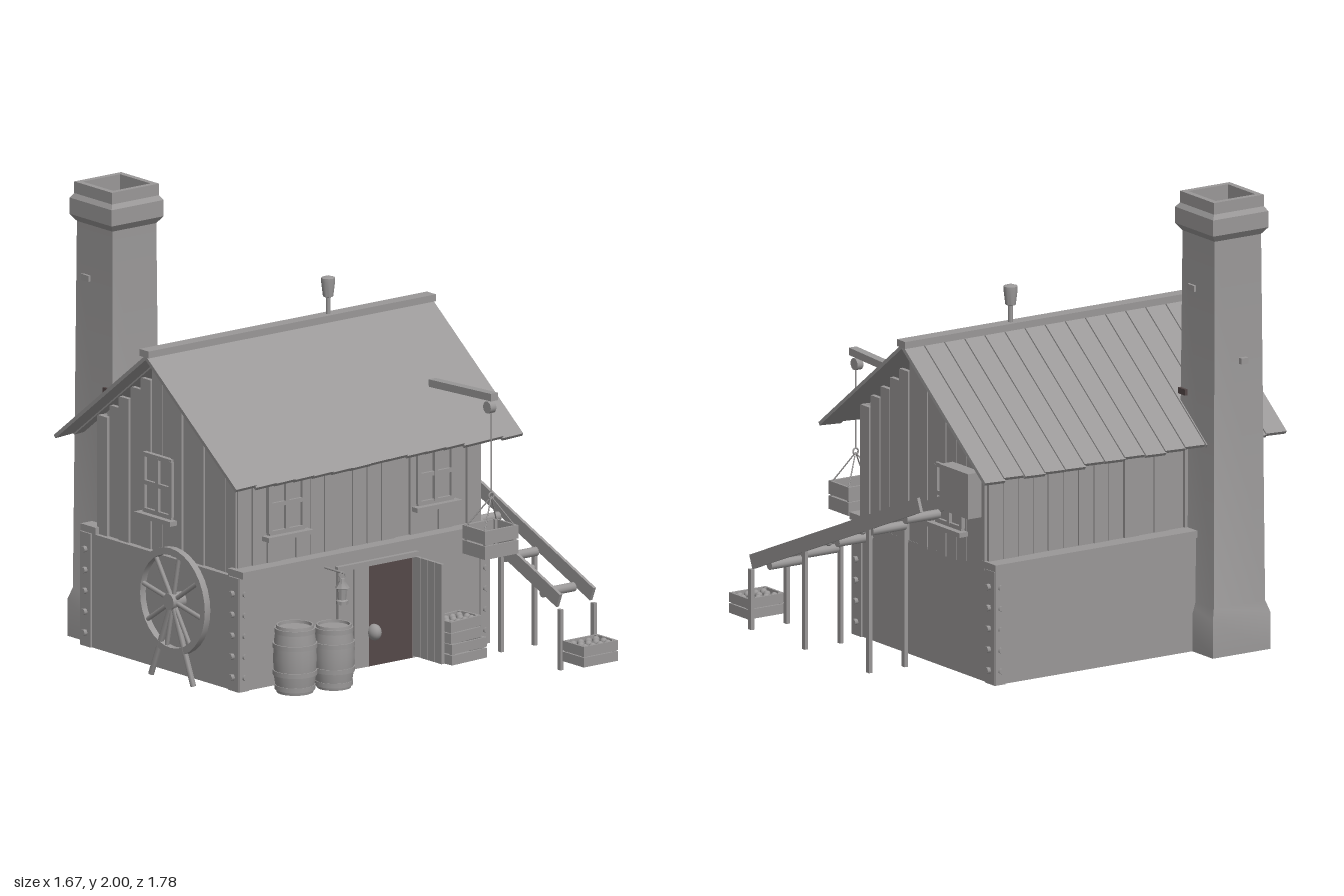
import * as THREE from 'three';
import { toCreasedNormals } from 'three/addons/utils/BufferGeometryUtils.js';

const grey = new THREE.MeshStandardMaterial({ color: 0x9a9898 });
grey.name = 'weatheredGrey';
const brown = new THREE.MeshStandardMaterial({ color: 0x544848 });
brown.name = 'darkBrown';

let seed = 7;
const rnd = () => (seed = (seed * 16807) % 2147483647) / 2147483647;

function add(parent, name, geo, x, y, z, mat = grey) {
  const m = new THREE.Mesh(geo, mat);
  m.name = name;
  m.position.set(x, y, z);
  parent.add(m);
  return m;
}
// Box given by its limits on each axis
function box(parent, name, x0, x1, y0, y1, z0, z1, mat) {
  return add(parent, name, new THREE.BoxGeometry(x1 - x0, y1 - y0, z1 - z0),
    (x0 + x1) / 2, (y0 + y1) / 2, (z0 + z1) / 2, mat);
}
function rod(parent, name, a, b, r, sides = 8) {
  const p = new THREE.Vector3(...a), q = new THREE.Vector3(...b);
  const m = add(parent, name, new THREE.CylinderGeometry(r, r, p.distanceTo(q), sides), 0, 0, 0);
  m.position.copy(p).lerp(q, 0.5);
  m.quaternion.setFromUnitVectors(new THREE.Vector3(0, 1, 0), q.sub(p).normalize());
  return m;
}
function lathe(parent, name, pts, sides, x, y, z) {
  const geo = new THREE.LatheGeometry(pts.map(p => new THREE.Vector2(...p)), sides);
  return add(parent, name, toCreasedNormals(geo, 0.6), x, y, z);
}
function group(parent, name, x = 0, y = 0, z = 0) {
  const g = new THREE.Group();
  g.name = name;
  g.position.set(x, y, z);
  parent.add(g);
  return g;
}

// Slatted crate standing on its origin, optionally filled with round goods
function crate(parent, name, x, y, z, w, h, d, turn, filled) {
  const g = group(parent, name, x, y, z);
  g.rotation.y = turn;
  box(g, 'crateFloor', -w / 2, w / 2, 0, 0.012, -d / 2, d / 2);
  for (const s of [-1, 1]) {
    for (const k of [0, 1]) {
      const y0 = k * h * 0.52, y1 = y0 + h * 0.46;
      add(g, 'longSlat', new THREE.BoxGeometry(w, y1 - y0, 0.01), 0, (y0 + y1) / 2, s * (d / 2 - 0.005));
      add(g, 'shortSlat', new THREE.BoxGeometry(0.01, y1 - y0, d), s * (w / 2 - 0.005), (y0 + y1) / 2, 0);
    }
    for (const t of [-1, 1]) add(g, 'cornerPost', new THREE.BoxGeometry(0.015, h - 0.002, 0.015), s * (w / 2 - 0.014), h / 2, t * (d / 2 - 0.014));
  }
  if (filled) {
    box(g, 'fill', -w / 2 + 0.01, w / 2 - 0.01, 0.01, h * 0.7, -d / 2 + 0.01, d / 2 - 0.01);
    for (let i = 0; i < 4; i++) for (let j = 0; j < 3; j++)
      add(g, 'fruit', new THREE.SphereGeometry(0.016, 10, 8), (i - 1.5) * w * 0.22 + (j % 2) * 0.01, h * 0.82, (j - 1) * d * 0.28);
  }
  return g;
}

function barrel(parent, x, z, r, h) {
  const g = group(parent, 'barrel', x, 0.04, z);
  lathe(g, 'barrelBody', [[0, 0], [r * 0.82, 0], [r * 0.93, h * 0.22], [r * 0.98, h * 0.5], [r * 0.93, h * 0.78],
    [r * 0.84, h], [r * 0.76, h], [r * 0.75, h - 0.015], [0, h - 0.015]], 20, 0, 0, 0);
  for (const [t, k] of [[0.08, 0.88], [0.3, 0.97], [0.7, 0.97], [0.92, 0.89]])
    add(g, 'hoop', new THREE.CylinderGeometry(r * k + 0.003, r * k + 0.003, 0.02, 20), 0, h * t, 0);
}

// Window frame facing +z, centred on its origin
function windowFrame(parent, x, y, z, turn, w = 0.18, h = 0.24) {
  const g = group(parent, 'window', x, y, z);
  g.rotation.y = turn;
  box(g, 'pane', -w / 2, w / 2, -h / 2, h / 2, -0.01, 0.002);
  for (const s of [-1, 0, 1]) {
    add(g, 'upright', new THREE.BoxGeometry(0.018, h, 0.024), s * w / 2, 0, 0.004);
    add(g, 'crossbar', new THREE.BoxGeometry(w + 0.01, 0.018, 0.022), 0, s * h / 2, 0.004);
  }
  box(g, 'sill', -w / 2 - 0.03, w / 2 + 0.03, -h / 2 - 0.03, -h / 2 - 0.01, -0.01, 0.04);
}

const RIDGE_Y = 1.4, RIDGE_Z = -0.205, PITCH = Math.atan2(0.46, 0.605);

function buildBase(root) {
  const g = group(root, 'stoneBase');
  box(g, 'frontWall', -0.74, 0.595, 0.04, 0.53, 0.22, 0.305);
  box(g, 'backWall', -0.74, 0.595, 0.04, 0.53, -0.74, -0.655);
  box(g, 'leftWall', 0.51, 0.595, 0.04, 0.53, -0.655, 0.22);
  box(g, 'rightWall', -0.74, -0.655, 0.04, 0.53, -0.655, 0.22);
  box(g, 'frontLedge', -0.74, 0.6, 0.53, 0.56, 0.23, 0.33);
  box(g, 'backLedge', -0.74, 0.6, 0.53, 0.56, -0.75, -0.65);
  // Corner irons with bolts
  for (const sx of [-1, 1]) for (const sz of [-1, 1]) {
    const x = sx > 0 ? 0.597 : -0.742, z = sz > 0 ? 0.307 : -0.742;
    add(g, 'cornerIron', new THREE.BoxGeometry(0.012, 0.49, 0.07), x, 0.285, z - sz * 0.032);
    add(g, 'cornerIron', new THREE.BoxGeometry(0.05, 0.49, 0.012), x - sx * 0.022, 0.285, z);
    for (let i = 0; i < 5; i++) {
      const y = 0.1 + i * 0.09;
      rod(g, 'bolt', [x, y, z - sz * 0.035], [x + sx * 0.022, y, z - sz * 0.035], 0.014, 6);
      rod(g, 'bolt', [x - sx * 0.022, y, z], [x - sx * 0.022, y, z + sz * 0.016], 0.012, 6);
    }
  }
  // Doorway: planked leaf, dark panel, open leaf and knob
  for (let i = 0; i < 4; i++) box(g, 'doorPlank', -0.22 + i * 0.043, -0.18 + i * 0.043, 0.045, 0.48, 0.3, 0.32 - (i % 2) * 0.004);
  box(g, 'doorPanel', -0.05, 0.185, 0.042, 0.48, 0.215, 0.312, brown);
  box(g, 'lintel', -0.225, 0.21, 0.478, 0.5, 0.3, 0.325);
  for (let i = 0; i < 4; i++) box(g, 'openDoorPlank', 0.19, 0.205, 0.05, 0.48, 0.31 + i * 0.048, 0.355 + i * 0.048);
  add(g, 'doorKnob', new THREE.SphereGeometry(0.035, 16, 12), -0.03, 0.19, 0.325).scale.x = 0.8;
}

function buildUpper(root) {
  const g = group(root, 'plankWalls');
  const n = 17, w = 1.3 / n;
  for (const [z, s] of [[0.25, 1], [-0.66, -1]]) {
    for (let i = 0; i < n; i++) {
      const x = -0.71 + i * w, out = s * rnd() * 0.012;
      box(g, 'wallPlank', x, x + w - 0.004, 0.53 + rnd() * 0.03, 1.04, z - 0.01 + out, z + 0.01 + out);
    }
  }
  const m = 13, d = 0.92 / m;
  for (const x of [0.58, -0.7]) {
    for (let i = 0; i < m; i++) {
      const z = -0.665 + i * d, far = Math.max(Math.abs(z - RIDGE_Z), Math.abs(z + d - RIDGE_Z));
      const out = Math.sign(x) * rnd() * 0.012;
      box(g, 'gablePlank', x - 0.01 + out, x + 0.01 + out, 0.52, RIDGE_Y - 0.02 - far * 0.76 + 0.012, z, z + d - 0.004);
    }
  }
  windowFrame(g, -0.465, 0.81, 0.27, 0);
  windowFrame(g, 0.335, 0.81, 0.27, 0);
  windowFrame(g, 0.6, 0.79, -0.42, Math.PI / 2);
  windowFrame(g, -0.72, 0.82, -0.25, -Math.PI / 2);
  box(g, 'chuteBox', 0.59, 0.665, 0.745, 0.94, -0.64, -0.43);
}

function buildRoof(root) {
  const g = group(root, 'roof');
  for (const s of [1, -1]) {
    const slope = group(g, 'roofSlope', 0, RIDGE_Y, RIDGE_Z);
    slope.rotation.x = s * PITCH;
    const n = 15, w = 1.53 / n;
    for (let i = 0; i < n; i++) {
      const len = 0.755 + rnd() * 0.012;
      const p = add(slope, 'roofPlank', new THREE.BoxGeometry(w + 0.004, 0.016, len), -0.83 + (i + 0.5) * w, 0, s * len / 2);
      p.rotation.z = 0.06;
    }
  }
  box(g, 'ridgeCap', -0.84, 0.705, 1.4, 1.43, RIDGE_Z - 0.03, RIDGE_Z + 0.03);
  lathe(g, 'vent', [[0.01, 0], [0.01, 0.08], [0.022, 0.085], [0.03, 0.15], [0.03, 0.165], [0, 0.175]], 12, 0.15, 1.42, RIDGE_Z);
}

function buildChimney(root) {
  const g = group(root, 'chimney', -0.55, 0, -0.745);
  const k = Math.SQRT2;
  const prof = [[0, 0.04], [0.146, 0.04], [0.146, 0.2], [0.13, 0.25], [0.118, 1.83], [0.14, 1.86], [0.14, 1.93],
    [0.126, 1.95], [0.126, 2], [0.1, 2], [0.1, 0.9]];
  lathe(g, 'chimneyStack', prof.map(([r, y]) => [r * k, y]), 4, 0, 0, 0).rotation.y = Math.PI / 4;
  // Loose bricks
  for (const [x, y, z, mat] of [[0.118, 1.14, 0.1, brown], [-0.118, 1.14, 0.1, brown], [-0.122, 0.65, 0.08, brown],
    [-0.114, 1.6, -0.05, grey], [0.114, 1.6, 0.04, grey], [-0.02, 1.3, -0.118, grey]])
    add(g, 'brick', new THREE.BoxGeometry(0.035, 0.026, 0.05), x, y, z, mat);
}

function buildWheel(root) {
  const g = group(root, 'sideWheel', -0.785, 0.365, -0.08);
  g.rotation.y = Math.PI / 2;
  const rim = new THREE.LatheGeometry([[0.2, -0.015], [0.23, -0.015], [0.23, 0.015], [0.2, 0.015], [0.2, -0.015]]
    .map(p => new THREE.Vector2(...p)), 32);
  add(g, 'rim', toCreasedNormals(rim, 0.6), 0, 0, 0).rotation.x = Math.PI / 2;
  rod(g, 'hub', [0, 0, -0.025], [0, 0, 0.05], 0.035, 12);
  for (let i = 0; i < 8; i++) {
    const a = i * Math.PI / 4 + 0.2;
    rod(g, 'spoke', [0, 0, 0], [0.21 * Math.cos(a), 0.21 * Math.sin(a), 0], 0.01, 6);
  }
  for (const s of [-1, 1]) rod(g, 'wheelLeg', [0, 0, -0.004], [s * 0.14, -0.34, -0.004], 0.013, 6);
}

function buildRamp(root) {
  const g = group(root, 'rollerRamp');
  const yAt = z => 0.295 + (0.72 - z) * 0.412;
  for (const x of [0.645, 0.825]) {
    const rail = add(g, 'rail', new THREE.BoxGeometry(0.014, 0.062, 1.34), x, yAt(0.1), 0.1);
    rail.rotation.x = Math.atan(0.412);
    for (const z of [0.73, 0.335, -0.14])
      box(g, 'rampLeg', x - 0.011, x + 0.005, 0, yAt(z) - 0.03, z - 0.011, z + 0.011);
  }
  for (const z of [0.6, 0.35, 0.1, -0.15, -0.4]) rod(g, 'roller', [0.65, yAt(z) - 0.04, z], [0.82, yAt(z) - 0.04, z], 0.02, 12);
  for (const [x, z] of [[0.76, 0], [0.76, 0.25], [0.7, 0.47], [0.7, -0.27]])
    add(g, 'rollingFruit', new THREE.SphereGeometry(0.015, 10, 8), x, yAt(z) - 0.02, z);
}

function buildHoist(root) {
  const g = group(root, 'hoist');
  const beam = add(g, 'beam', new THREE.BoxGeometry(0.038, 0.032, 0.415), 0.42, 1.17, 0.36);
  beam.rotation.x = -0.045;
  rod(g, 'pulley', [0.405, 1.13, 0.535], [0.435, 1.13, 0.535], 0.026, 16);
  rod(g, 'rope', [0.42, 1.13, 0.545], [0.42, 0.76, 0.545], 0.003, 6);
  add(g, 'ring', new THREE.TorusGeometry(0.013, 0.004, 6, 14), 0.42, 0.75, 0.545);
  for (const sx of [-1, 1]) for (const sz of [-1, 1])
    rod(g, 'sling', [0.42, 0.745, 0.545], [0.42 + sx * 0.08, 0.62, 0.54 + sz * 0.06], 0.003, 6);
  crate(g, 'hangingCrate', 0.42, 0.5, 0.54, 0.18, 0.125, 0.15, 0, false);
}

function buildLantern(root) {
  const g = group(root, 'lantern', -0.28, 0.37, 0.42);
  rod(g, 'bracket', [0, 0.135, -0.12], [0, 0.135, 0.01], 0.005, 6);
  lathe(g, 'lanternBody', [[0, 0], [0.026, 0], [0.026, 0.015], [0.018, 0.02], [0.022, 0.065], [0.032, 0.07],
    [0.012, 0.1], [0.012, 0.11], [0, 0.11]], 8, 0, 0, 0);
  add(g, 'handle', new THREE.TorusGeometry(0.015, 0.003, 6, 14), 0, 0.122, 0);
}

export function createModel() {
  const root = new THREE.Group();
  root.name = 'brewHouse';
  buildBase(root);
  buildUpper(root);
  buildRoof(root);
  buildChimney(root);
  buildWheel(root);
  buildRamp(root);
  buildHoist(root);
  buildLantern(root);
  barrel(root, -0.55, 0.44, 0.094, 0.29);
  barrel(root, -0.373, 0.48, 0.088, 0.272);
  crate(root, 'lowerCrate', 0.33, 0.04, 0.435, 0.2, 0.09, 0.14, 0.08, false);
  crate(root, 'upperCrate', 0.315, 0.132, 0.435, 0.18, 0.095, 0.13, 0.1, true);
  crate(root, 'fruitCrate', 0.735, 0.04, 0.815, 0.185, 0.09, 0.14, 0, true);
  return root;
}
